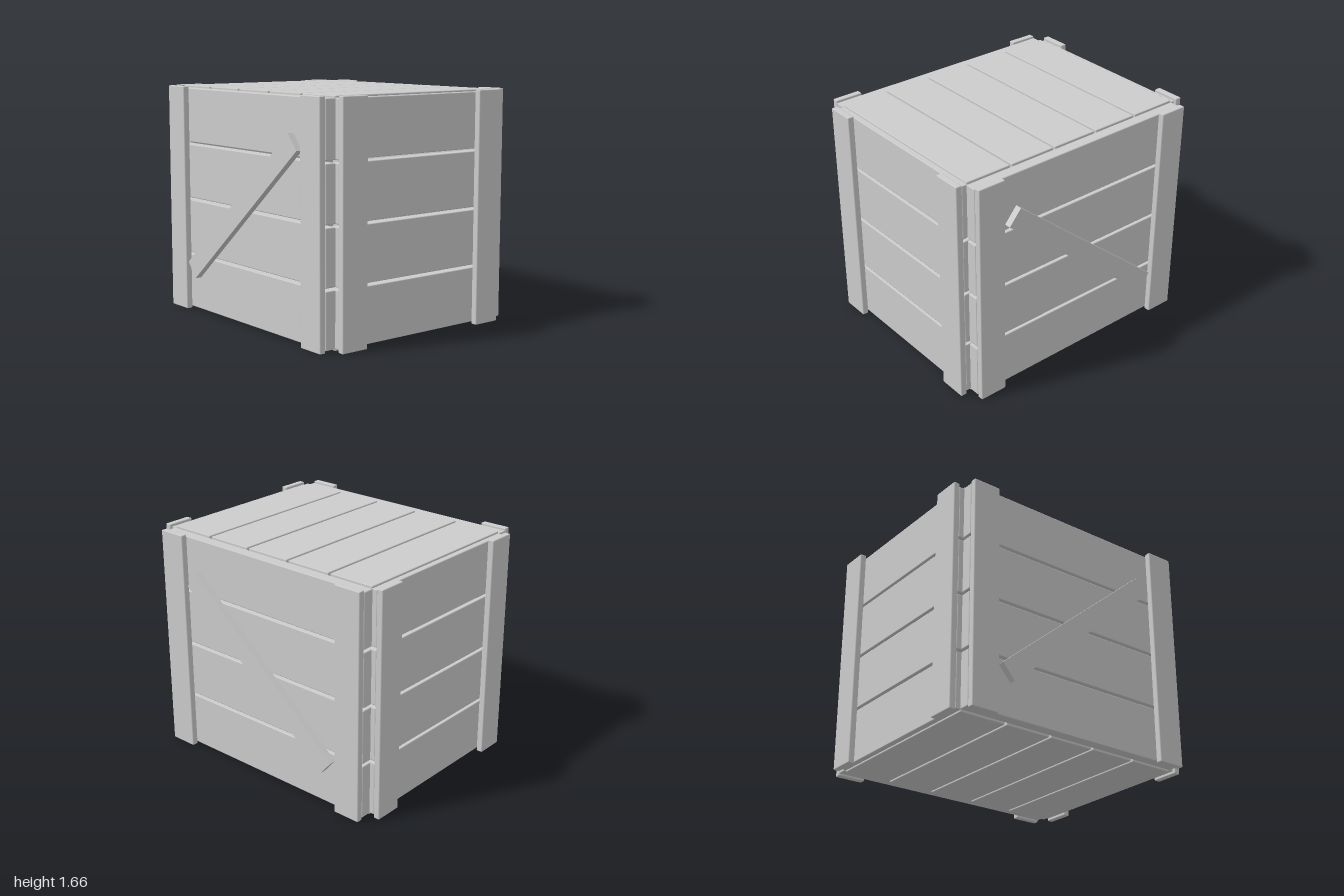
import * as THREE from 'three';
import { RoundedBoxGeometry } from 'three/addons/geometries/RoundedBoxGeometry.js';

export function createModel() {
  const crate = new THREE.Group();
  crate.name = 'crate';
  const wood = new THREE.MeshStandardMaterial({ color: 0xcccccc });
  wood.name = 'light grey';

  // A plank with slightly eased edges
  function plank(name, size, pos, bevel = 0.007) {
    const geometry = bevel
      ? new RoundedBoxGeometry(...size, 1, bevel)
      : new THREE.BoxGeometry(...size);
    const mesh = new THREE.Mesh(geometry, wood);
    mesh.name = name;
    mesh.position.set(...pos);
    crate.add(mesh);
    return mesh;
  }

  const height = 1.664, mid = height / 2;

  // Four horizontal planks on each wall
  for (let i = 0; i < 4; i++) {
    const y = mid + (i - 1.5) * 0.4135;
    for (const s of [-1, 1]) {
      plank(s > 0 ? 'frontPlank' : 'backPlank', [1.824, 0.395, 0.083], [0, y, s * 0.7425]);
      plank(s > 0 ? 'leftPlank' : 'rightPlank', [0.083, 0.395, 1.402], [s * 0.9055, y, 0]);
    }
  }

  // Five planks each for lid and floor
  for (let i = 0; i < 5; i++) {
    const x = (i - 2) * 0.366;
    plank('lidPlank', [0.35, 0.08, 1.402], [x, height - 0.04, 0]);
    plank('floorPlank', [0.35, 0.08, 1.402], [x, 0.04, 0]);
  }

  // Upright battens near every corner
  for (const sx of [-1, 1]) {
    for (const sz of [-1, 1]) {
      plank(sz > 0 ? 'frontBatten' : 'backBatten', [0.209, height, 0.047], [sx * 0.8075, mid, sz * 0.8075]);
      plank(sx > 0 ? 'leftBatten' : 'rightBatten', [0.047, height, 0.209], [sx * 0.9765, mid, sz * 0.6085]);
    }
  }

  // Diagonal braces on front and back
  for (const s of [-1, 1]) {
    const brace = plank(s > 0 ? 'frontBrace' : 'backBrace', [1.627, 0.144, 0.047], [-0.002, mid, s * 0.8075], 0);
    brace.rotation.z = THREE.MathUtils.degToRad(40);
  }

  return crate;
}
